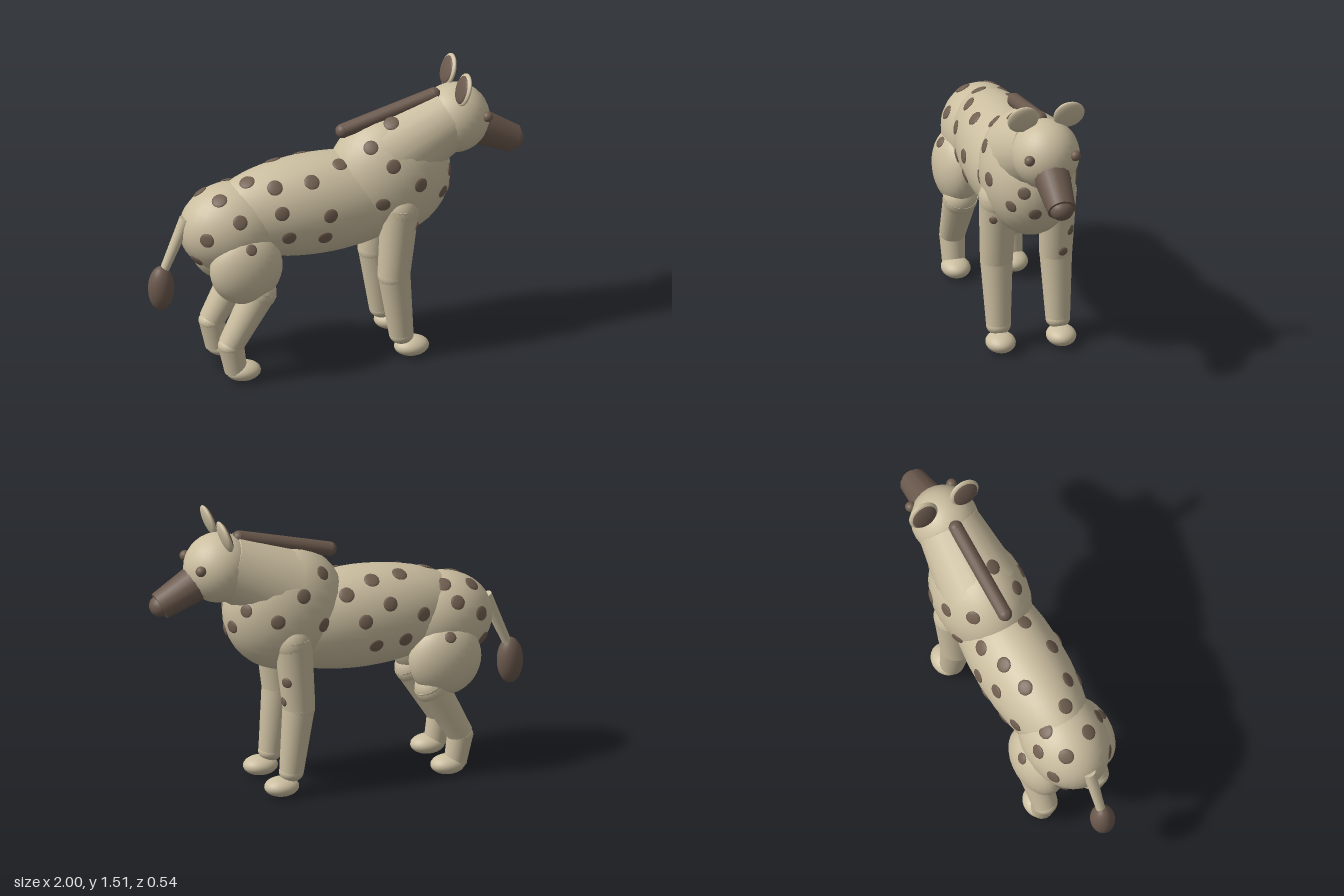
import * as THREE from 'three';

export function createModel() {
  const model = new THREE.Group();
  model.name = 'spottedAnimal';

  const mat = (name, color) => {
    const m = new THREE.MeshStandardMaterial({ color });
    m.name = name;
    return m;
  };
  const fur = mat('sandFur', 0xcbbea0);
  const dark = mat('darkBrown', 0x6b594d);
  const spotMat = mat('spotBrown', 0x715f50);

  const add = (name, geometry, material) => {
    const mesh = new THREE.Mesh(geometry, material);
    mesh.name = name;
    model.add(mesh);
    return mesh;
  };

  // Ellipsoid from centre, radii and a tilt about z
  const blob = (name, pos, radii, material = fur, tilt = 0) => {
    const m = add(name, new THREE.SphereGeometry(1, 28, 20), material);
    m.position.set(...pos);
    m.scale.set(...radii);
    m.rotation.z = tilt;
    return m;
  };

  // Tapered limb running from point a (radius ra) to point b (radius rb)
  const up = new THREE.Vector3(0, 1, 0);
  const limb = (name, a, b, ra, rb, material = fur, sides = 20) => {
    const va = new THREE.Vector3(...a);
    const vb = new THREE.Vector3(...b);
    const dir = vb.clone().sub(va);
    const m = add(name, new THREE.CylinderGeometry(rb, ra, dir.length(), sides), material);
    m.position.copy(va).add(vb).multiplyScalar(0.5);
    m.quaternion.setFromUnitVectors(up, dir.normalize());
    return m;
  };

  // Body, neck and head
  const skin = [
    blob('torso', [-0.11, 0.86, 0], [0.6, 0.265, 0.23]),
    blob('rump', [-0.55, 0.8, 0], [0.28, 0.235, 0.215]),
    blob('chest', [0.28, 0.96, 0], [0.32, 0.325, 0.24]),
    limb('neck', [0.28, 1.07, 0], [0.6, 1.23, 0], 0.215, 0.165),
  ];
  blob('head', [0.63, 1.22, 0], [0.18, 0.18, 0.172]);

  // Snout and nose
  limb('snout', [0.7, 1.18, 0], [0.945, 1.05, 0], 0.1, 0.073, dark, 12);
  blob('nose', [0.945, 1.052, 0], [0.053, 0.055, 0.06], dark);

  // Mane along the back of the neck
  limb('mane', [0.035, 1.24, 0], [0.52, 1.365, 0], 0.037, 0.037, dark, 14);
  blob('maneBackEnd', [0.035, 1.24, 0], [0.037, 0.037, 0.037], dark);
  blob('maneFrontEnd', [0.52, 1.365, 0], [0.037, 0.037, 0.037], dark);

  // Tail with a tuft
  limb('tail', [-0.8, 0.88, 0], [-0.92, 0.6, 0], 0.034, 0.023, fur, 12);
  blob('tailTuft', [-0.932, 0.51, 0], [0.067, 0.122, 0.062], dark);

  for (const s of [1, -1]) {
    // Ears with dark discs on their backs, and eyes
    blob('ear', [0.64, 1.43, s * 0.12], [0.022, 0.085, 0.081], fur, -0.33);
    blob('earPatch', [0.631, 1.431, s * 0.12], [0.018, 0.074, 0.069], dark, -0.33);
    blob('eye', [0.767, 1.257, s * 0.12], [0.027, 0.027, 0.027], spotMat);

    // Front leg
    const fz = s * 0.155;
    skin.push(
      blob('shoulder', [0.288, 0.83, fz], [0.098, 0.115, 0.098]),
      limb('frontUpperLeg', [0.288, 0.85, fz], [0.255, 0.47, fz], 0.098, 0.083),
      limb('frontLowerLeg', [0.255, 0.48, fz], [0.295, 0.12, fz], 0.083, 0.062),
    );
    blob('frontElbow', [0.255, 0.47, fz], [0.083, 0.083, 0.083]);
    blob('frontAnkle', [0.295, 0.125, fz], [0.063, 0.05, 0.063]);
    blob('frontPaw', [0.348, 0.054, s * 0.158], [0.09, 0.05, 0.076]);

    // Hind leg
    const hz = s * 0.15;
    skin.push(blob('thigh', [-0.53, 0.63, hz], [0.19, 0.195, 0.12]));
    limb('hindShin', [-0.45, 0.5, hz], [-0.612, 0.21, hz], 0.088, 0.066);
    blob('hindKnee', [-0.46, 0.48, hz], [0.088, 0.088, 0.088]);
    blob('hock', [-0.612, 0.205, hz], [0.066, 0.05, 0.066]);
    limb('hindFoot', [-0.612, 0.21, hz], [-0.585, 0.06, hz], 0.066, 0.058);
    blob('hindPaw', [-0.545, 0.054, hz], [0.09, 0.05, 0.074]);
  }

  // Spots: thin discs laid on the skin where a ray first meets it
  model.updateMatrixWorld(true);
  const ray = new THREE.Raycaster();
  const spot = (from, dir, r) => {
    ray.set(new THREE.Vector3(...from), new THREE.Vector3(...dir));
    const hit = ray.intersectObjects(skin, false)[0];
    if (!hit) return;
    const n = hit.face.normal.clone()
      .applyNormalMatrix(new THREE.Matrix3().getNormalMatrix(hit.object.matrixWorld));
    const m = add('spot', new THREE.SphereGeometry(1, 16, 8), spotMat);
    m.position.copy(hit.point);
    m.scale.set(r, 0.009, r);
    m.quaternion.setFromUnitVectors(up, n.normalize());
  };

  // Flank spots as [x, y], one list for each side
  const nearSide = [
    [-0.74, 0.82], [-0.765, 0.67], [-0.575, 0.91], [-0.355, 0.93], [-0.32, 0.79],
    [-0.105, 0.89], [-0.13, 0.765], [-0.01, 1.1], [0.14, 1.19], [0.235, 1.105],
    [0.175, 0.905], [0.375, 0.985],
  ];
  const farSide = [
    [-0.72, 0.85], [-0.74, 0.7], [-0.59, 0.93], [-0.4, 0.9], [-0.3, 0.78],
    [-0.08, 0.91], [-0.14, 0.77], [-0.22, 0.98], [0.12, 1.17], [0.25, 1.09],
    [0.14, 0.92], [0.39, 0.97],
  ];
  for (const [x, y] of nearSide) spot([x, y, 2], [0, 0, -1], 0.038);
  for (const [x, y] of farSide) spot([x, y, -2], [0, 0, 1], 0.038);

  // Back spots as [x, z]
  const back = [
    [-0.65, 0.085], [-0.49, 0.045], [-0.37, 0.13], [-0.18, 0.15], [-0.7, -0.075],
    [-0.54, -0.1], [-0.31, -0.085], [-0.15, -0.115], [0, -0.16], [0.27, 0.07],
  ];
  for (const [x, z] of back) spot([x, 3, z], [0, -1, 0], 0.04);

  // Chest spots as [y, z]
  for (const [y, z] of [[0.98, 0.095], [0.915, -0.07], [0.89, 0.15], [0.86, 0.04], [1.02, -0.14]]) {
    spot([3, y, z], [-1, 0, 0], 0.034);
  }

  // Small spots on the legs
  spot([3, 0.745, 0.2], [-1, 0, 0], 0.022);
  spot([3, 0.63, -0.21], [-1, 0, 0], 0.028);
  spot([3, 0.515, -0.17], [-1, 0, 0], 0.025);
  spot([-0.53, 0.77, 2], [0, 0, -1], 0.03);
  spot([-0.53, 0.77, -2], [0, 0, 1], 0.03);

  return model;
}
